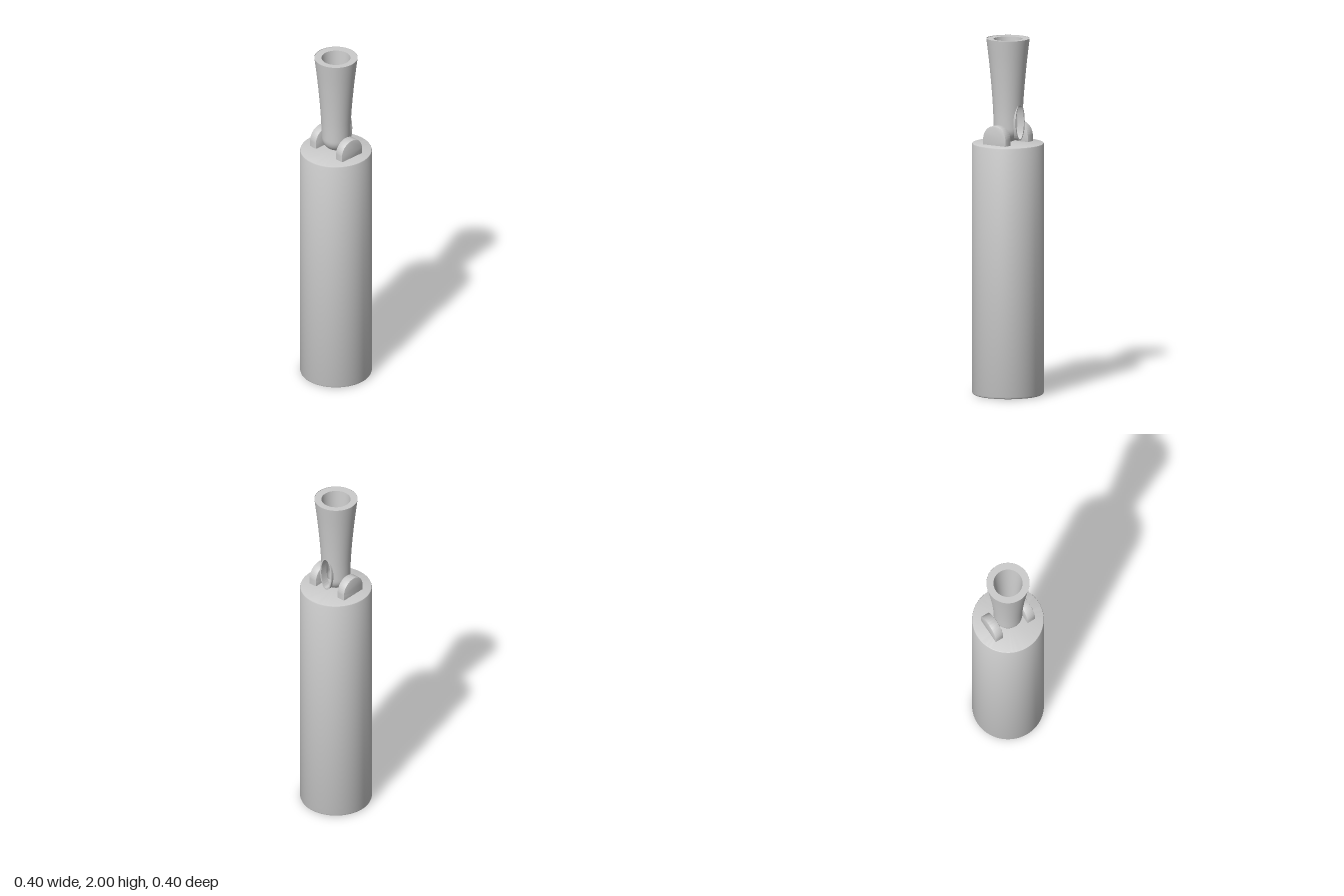
import * as THREE from 'three';
import { toCreasedNormals } from 'three/addons/utils/BufferGeometryUtils.js';

const material = new THREE.MeshStandardMaterial({ color: 0xcccccc });
const thin = new THREE.MeshStandardMaterial({ color: 0xcccccc, side: THREE.DoubleSide });
const vecs = (pairs) => pairs.map(([x, y]) => new THREE.Vector2(x, y));

// Opening in the back of the stem: an upright ellipse
const hole = { y: 1.537, rx: 0.043, ry: 0.103, lip: 0.008 };

function add(group, name, geometry, mat = material) {
  const mesh = new THREE.Mesh(geometry, mat);
  mesh.name = name;
  group.add(mesh);
  return mesh;
}

// Round bottom followed by a flared wall, sampled finely from bottom to top
function stemProfile(radius, centreY, wall) {
  const points = [];
  for (let i = 0; i < 16; i++) {
    const a = (i / 16) * Math.PI / 2;
    points.push(new THREE.Vector2(radius * Math.sin(a), centreY - radius * Math.cos(a)));
  }
  return points.concat(new THREE.SplineCurve(vecs(wall)).getPoints(80));
}

// Remove the triangles that fall inside the back opening
function cutHole(geometry) {
  const p = geometry.attributes.position;
  const index = geometry.index.array;
  const kept = [];
  for (let i = 0; i < index.length; i += 3) {
    const t = [index[i], index[i + 1], index[i + 2]];
    const mean = (get) => t.reduce((sum, v) => sum + get(v), 0) / 3;
    const x = mean((v) => p.getX(v)) / (hole.rx - hole.lip / 2);
    const y = (mean((v) => p.getY(v)) - hole.y) / (hole.ry - hole.lip / 2);
    const inside = mean((v) => p.getZ(v)) < 0 && x * x + y * y < 1;
    if (!inside) kept.push(...t);
  }
  geometry.setIndex(kept);
  return geometry;
}

export function createModel() {
  const model = new THREE.Group();
  model.name = 'model';

  // Main cylinder with slightly eased edges
  const body = new THREE.LatheGeometry(vecs([
    [0, 0], [0.19, 0], [0.197, 0.004], [0.2, 0.012],
    [0.2, 1.408], [0.198, 1.413], [0.193, 1.415], [0, 1.415],
  ]), 96);
  add(model, 'body', toCreasedNormals(body, 0.5));

  // Pair of round-topped lugs either side of the stem
  const bevel = 0.004;
  const r = 0.078 - bevel;
  const outline = new THREE.Shape();
  outline.moveTo(-r, 1.4);
  outline.lineTo(r, 1.4);
  outline.lineTo(r, 1.446);
  outline.absarc(0, 1.446, r, 0, Math.PI, false);
  outline.closePath();
  const lug = new THREE.ExtrudeGeometry(outline, {
    depth: 0.05 - 2 * bevel, curveSegments: 32,
    bevelSize: bevel, bevelThickness: bevel, bevelSegments: 2,
  });
  lug.translate(0, 0, -0.025 + bevel);
  lug.rotateY(Math.PI / 2);
  const lugGeometry = toCreasedNormals(lug, 0.6);
  for (const side of [-1, 1]) {
    add(model, side > 0 ? 'leftLug' : 'rightLug', lugGeometry).position.x = side * 0.105;
  }

  // Hollow flared stem: outer wall, inner wall and flat rim
  const stem = new THREE.Group();
  stem.name = 'stem';
  model.add(stem);
  const outer = stemProfile(0.08, 1.5, [
    [0.08, 1.5], [0.083, 1.6], [0.091, 1.72], [0.104, 1.86], [0.119, 1.99], [0.12, 2],
  ]);
  const inner = stemProfile(0.053, 1.5, [
    [0.053, 1.5], [0.055, 1.6], [0.061, 1.72], [0.07, 1.86], [0.081, 2],
  ]).reverse();
  add(stem, 'stemOuterWall', cutHole(new THREE.LatheGeometry(outer, 96)), thin);
  add(stem, 'stemInnerWall', cutHole(new THREE.LatheGeometry(inner, 96)), thin);
  add(stem, 'stemRim', new THREE.RingGeometry(0.081, 0.12, 96).rotateX(-Math.PI / 2).translate(0, 2, 0));

  // Raised oval lip lining the back opening
  const oval = new THREE.Shape();
  oval.absellipse(0, hole.y, hole.rx, hole.ry, 0, Math.PI * 2, false);
  const gap = new THREE.Path();
  gap.absellipse(0, hole.y, hole.rx - hole.lip, hole.ry - hole.lip, 0, Math.PI * 2, true);
  oval.holes.push(gap);
  const lip = new THREE.ExtrudeGeometry(oval, { depth: 0.044, curveSegments: 48, bevelEnabled: false });
  lip.translate(0, 0, -0.084);
  add(stem, 'openingLip', toCreasedNormals(lip, 0.6));

  return model;
}
